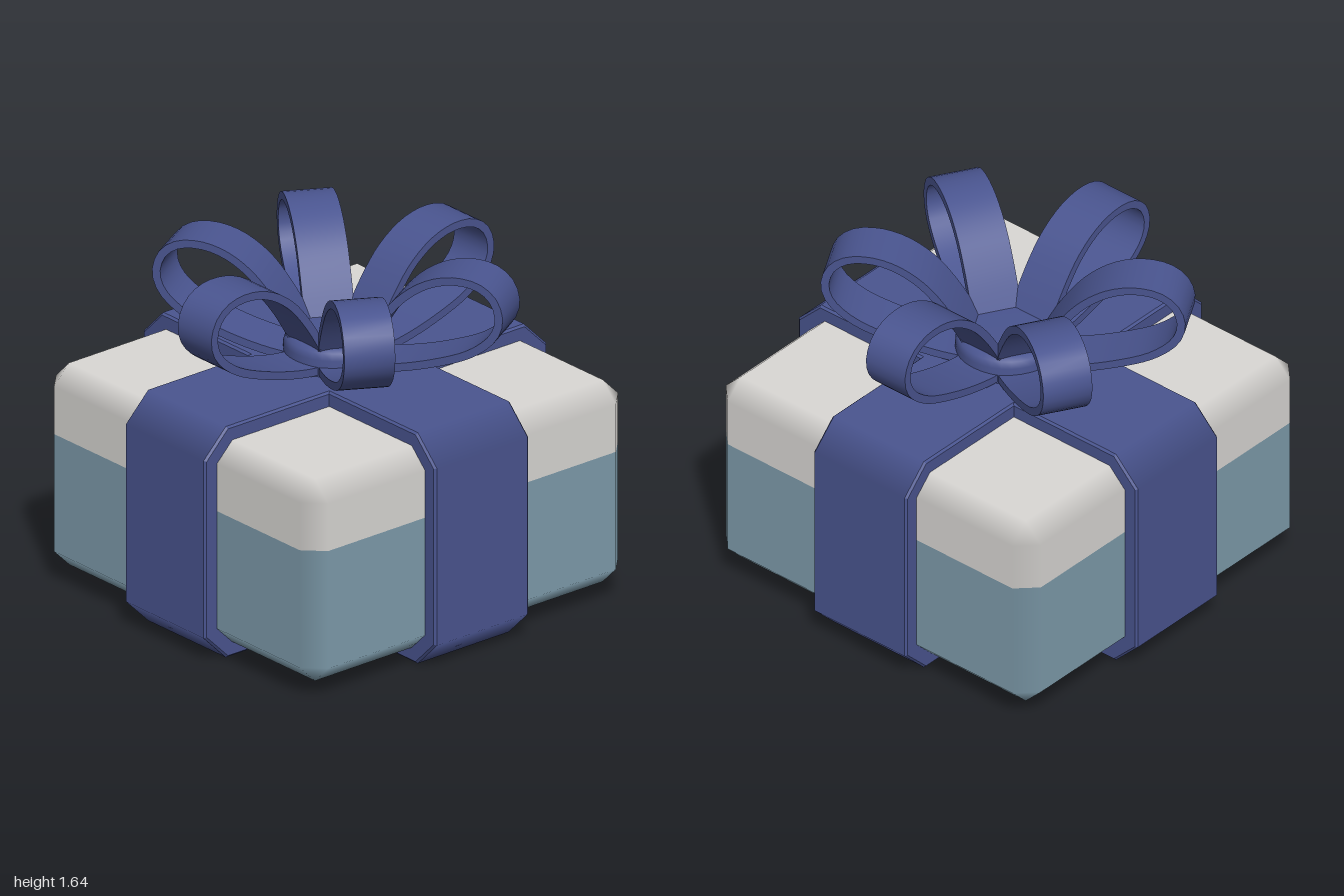
import * as THREE from 'three';
import { toCreasedNormals } from 'three/addons/utils/BufferGeometryUtils.js';

const lidWhite = new THREE.MeshStandardMaterial({ color: 0xdad8d5 });
lidWhite.name = 'lid white';
const boxTeal = new THREE.MeshStandardMaterial({ color: 0x7e9cac });
boxTeal.name = 'box teal';
const ribbonBlue = new THREE.MeshStandardMaterial({ color: 0x4a5590 });
ribbonBlue.name = 'ribbon blue';

const FACE = 0.93, FLAT = 0.84; // half width of the box and of its flat faces

function addMesh(parent, name, geometry, material) {
  const mesh = new THREE.Mesh(geometry, material);
  mesh.name = name;
  parent.add(mesh);
  return mesh;
}

// Half of a chamfered box: rings of eight corners, with normals kept true to the flat faces
function boxShell(rings) {
  const pos = [], nor = [], index = [];
  for (const { y, cap } of rings) {
    for (let i = 0; i < 8; i++) {
      const sx = i < 2 || i > 5 ? 1 : -1, sz = i < 4 ? 1 : -1;
      const onX = i % 4 === 0 || i % 4 === 3;
      pos.push(sx * (onX && !cap ? FACE : FLAT), y, sz * (onX || cap ? FLAT : FACE));
      if (cap) nor.push(0, cap, 0);
      else nor.push(onX ? sx : 0, 0, onX ? 0 : sz);
    }
  }
  rings.forEach(({ cap }, r) => {
    const o = r * 8;
    for (let i = 0; i < 8 && r < rings.length - 1; i++) {
      const a = o + i, b = o + (i + 1) % 8;
      index.push(a, a + 8, b, b, a + 8, b + 8);
    }
    for (let i = 1; i < 7 && cap; i++) {
      if (cap > 0) index.push(o, o + i + 1, o + i);
      else index.push(o, o + i, o + i + 1);
    }
  });
  const g = new THREE.BufferGeometry();
  g.setAttribute('position', new THREE.Float32BufferAttribute(pos, 3));
  g.setAttribute('normal', new THREE.Float32BufferAttribute(nor, 3));
  g.setIndex(index);
  return g;
}

// Rectangle with cut corners
function cutRect(w, y0, y1, c) {
  return [[w, y0 + c], [w, y1 - c], [w - c, y1], [c - w, y1],
    [-w, y1 - c], [-w, y0 + c], [c - w, y0], [w - c, y0]].map(p => new THREE.Vector2(...p));
}

// Ribbon band around the box, softly shaded over its cut corners
function bandGeometry() {
  const shape = new THREE.Shape(cutRect(1, 0, 1.12, 0.13));
  shape.holes.push(new THREE.Path(cutRect(0.92, 0.08, 1.04, 0.09)));
  const b = 0.01, half = 0.275;
  const g = new THREE.ExtrudeGeometry(shape, {
    depth: 2 * (half - b), bevelEnabled: true, bevelThickness: b,
    bevelSize: b, bevelOffset: -b, bevelSegments: 1,
  });
  g.translate(0, 0, b - half);
  const p = g.attributes.position, n = g.attributes.normal;
  for (let i = 0; i < p.count; i++) {
    const x = p.getX(i), y = p.getY(i);
    if (Math.abs(n.getZ(i)) > 0.3) continue;
    if (Math.abs(x) > 0.98) n.setXYZ(i, Math.sign(x), 0, 0);
    else if (y < 0.03 || y > 1.09) n.setXYZ(i, 0, y > 0.5 ? 1 : -1, 0);
  }
  return g;
}

// Bow loop: a strip of even thickness following a teardrop curve
function loopGeometry() {
  const curve = new THREE.CatmullRomCurve3([
    [0.06, 1.135], [0.28, 1.155], [0.5, 1.21], [0.68, 1.285], [0.78, 1.375], [0.807, 1.46],
    [0.78, 1.55], [0.71, 1.605], [0.6, 1.62], [0.48, 1.59], [0.36, 1.51], [0.26, 1.39],
    [0.165, 1.235], [0.13, 1.17],
  ].map(([x, y]) => new THREE.Vector3(x, y, 0)));
  const outer = [], inner = [], steps = 44, half = 0.019;
  for (let i = 0; i <= steps; i++) {
    const p = curve.getPointAt(i / steps), t = curve.getTangentAt(i / steps);
    outer.push(new THREE.Vector2(p.x + t.y * half, p.y - t.x * half));
    inner.unshift(new THREE.Vector2(p.x - t.y * half, p.y + t.x * half));
  }
  const g = new THREE.ExtrudeGeometry(new THREE.Shape([...outer, ...inner]),
    { depth: 0.23, bevelEnabled: false });
  g.translate(0, 0, -0.115);
  return toCreasedNormals(g, 0.7);
}

export function createModel() {
  const model = new THREE.Group();
  model.name = 'giftBox';

  // Box
  addMesh(model, 'boxBase', boxShell([{ y: 0.07, cap: -1 }, { y: 0.16 }, { y: 0.73 }]), boxTeal);
  addMesh(model, 'boxLid', boxShell([{ y: 0.73 }, { y: 0.96 }, { y: 1.05, cap: 1 }]), lidWhite);

  // Crossed ribbon bands
  const band = bandGeometry();
  addMesh(model, 'sidewaysBand', band, ribbonBlue);
  addMesh(model, 'lengthwiseBand', band, ribbonBlue).rotation.y = Math.PI / 2;

  // Bow
  const bow = new THREE.Group();
  bow.name = 'bow';
  model.add(bow);
  const loop = loopGeometry();
  for (let i = 0; i < 6; i++) {
    addMesh(bow, 'bowLoop' + (i + 1), loop, ribbonBlue).rotation.y = i * Math.PI / 3;
  }

  // Round knot under the loops
  const profile = [[0.235, 1.1], [0.235, 1.2], [0.225, 1.232], [0.2, 1.247], [0.17, 1.25], [0, 1.25]];
  const knot = new THREE.LatheGeometry(profile.map(p => new THREE.Vector2(...p)), 32);
  addMesh(bow, 'bowKnot', knot, ribbonBlue);

  return model;
}
